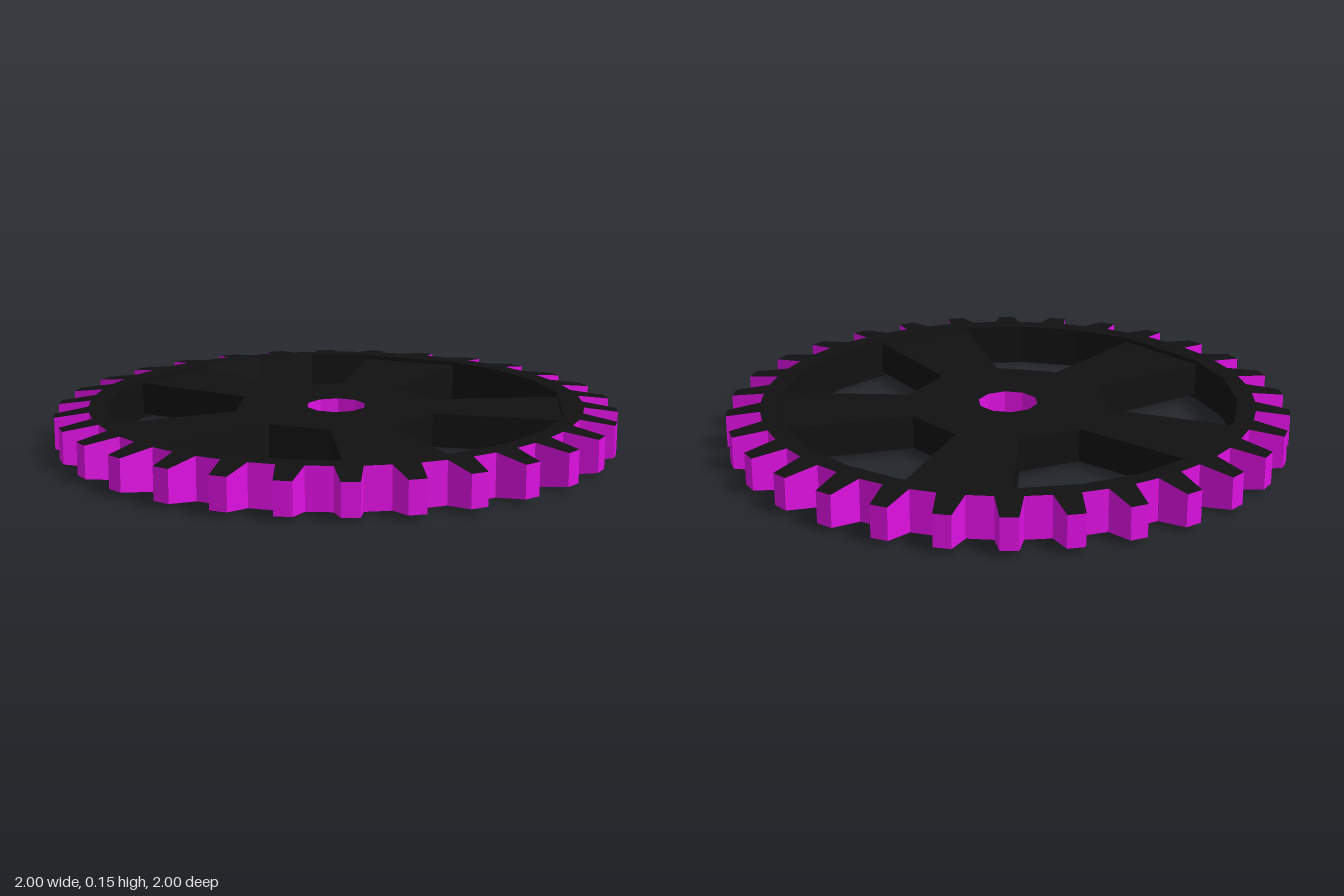
import * as THREE from 'three';
import { mergeGeometries } from 'three/addons/utils/BufferGeometryUtils.js';

const TEETH = 30, SPOKES = 5, HEIGHT = 0.15, RECESS = 0.015;
const ROOT = 0.88, RIM = 0.818, HUB = 0.364, BORE = 0.107;
const CENTRE = -9; // angle of the first spoke and first tooth, in degrees

const black = new THREE.MeshStandardMaterial({ color: 0x111111, flatShading: true });
const magenta = new THREE.MeshStandardMaterial({ color: 0xdd10e0, flatShading: true });

// Point on the plan: angle clockwise from the back, and radius
const polar = (deg, r) => {
  const a = THREE.MathUtils.degToRad(deg);
  return new THREE.Vector2(r * Math.sin(a), r * Math.cos(a));
};
const at = (p, y) => [p.x, y, -p.y];

// Separate flat quads, corners counter-clockwise
function quads(list) {
  const pos = [];
  for (const [a, b, c, d] of list) pos.push(...a, ...b, ...c, ...a, ...c, ...d);
  const g = new THREE.BufferGeometry();
  g.setAttribute('position', new THREE.Float32BufferAttribute(pos, 3));
  g.computeVertexNormals();
  return g;
}

// Upright wall along a path; clockwise paths face outward
function walls(path, y0, y1, closed = true) {
  const list = [];
  const n = closed ? path.length : path.length - 1;
  for (let i = 0; i < n; i++) {
    const p = path[i], q = path[(i + 1) % path.length];
    list.push([at(q, y0), at(p, y0), at(p, y1), at(q, y1)]);
  }
  return quads(list);
}

// Flat top and bottom faces of an outline with a hole
function caps(outline, hole, y0, y1) {
  const shape = new THREE.Shape(outline);
  shape.holes.push(new THREE.Path(hole));
  const top = new THREE.ShapeGeometry(shape).rotateX(-Math.PI / 2);
  const bottom = top.clone();
  bottom.index.array.reverse();
  bottom.computeVertexNormals();
  return mergeGeometries([top.translate(0, y1, 0), bottom.translate(0, y0, 0)]);
}

export function createModel() {
  const gear = new THREE.Group();
  gear.name = 'gear';
  const add = (name, geometry, material) => {
    const mesh = new THREE.Mesh(geometry, material);
    mesh.name = name;
    gear.add(mesh);
  };

  // Outlines of the rim, the spoked plate and the bore
  const rootLoop = [], rimLoop = [], plateLoop = [], boreLoop = [];
  const spokeSides = [];
  for (let k = 0; k < SPOKES; k++) {
    const c = CENTRE + (360 / SPOKES) * k;
    for (const d of [-12.8, 12.8, 28.3, 43.7]) rimLoop.push(polar(c + d, RIM));
    plateLoop.push(polar(c - 17.7, HUB), polar(c - 12.8, RIM), polar(c + 12.8, RIM), polar(c + 17.7, HUB));
    const window = [polar(c + 12.8, RIM), polar(c + 17.7, HUB), polar(c + 54.3, HUB), polar(c + 59.2, RIM)];
    spokeSides.push(walls(window, RECESS, HEIGHT - RECESS, false));
  }
  for (let i = 0; i < 10; i++) boreLoop.push(polar(CENTRE + 18 + 36 * i, BORE));

  // Teeth: narrower and thinner toward the tip
  const toothFaces = [], toothSides = [], roots = [];
  for (let i = 0; i < TEETH; i++) {
    const c = CENTRE + (360 / TEETH) * i;
    const b0 = polar(c - 3.05, ROOT), b1 = polar(c + 3.05, ROOT);
    const t0 = polar(c - 1.75, 1), t1 = polar(c + 1.75, 1);
    const next = polar(c + 360 / TEETH - 3.05, ROOT);
    const lo = 0.018, hi = HEIGHT - 0.018;
    rootLoop.push(b0, b1);
    toothFaces.push(
      [at(b0, HEIGHT), at(b1, HEIGHT), at(t1, hi), at(t0, hi)],
      [at(t0, lo), at(t1, lo), at(b1, 0), at(b0, 0)]);
    toothSides.push(
      [at(t0, lo), at(b0, 0), at(b0, HEIGHT), at(t0, hi)],
      [at(t1, lo), at(t0, lo), at(t0, hi), at(t1, hi)],
      [at(b1, 0), at(t1, lo), at(t1, hi), at(b1, HEIGHT)]);
    roots.push([at(next, 0), at(b1, 0), at(b1, HEIGHT), at(next, HEIGHT)]);
  }
  add('toothFaces', quads(toothFaces), black);
  add('toothSides', quads(toothSides), magenta);
  add('toothRoots', quads(roots), magenta);

  // Rim
  add('rimFaces', caps(rootLoop, rimLoop, 0, HEIGHT), black);
  add('rimInnerWall', walls([...rimLoop].reverse(), 0, HEIGHT), black);

  // Hub and spokes, set slightly below the rim
  add('hubAndSpokes', caps(plateLoop, boreLoop, RECESS, HEIGHT - RECESS), black);
  add('spokeSides', mergeGeometries(spokeSides), black);
  add('boreWall', walls([...boreLoop].reverse(), RECESS, HEIGHT - RECESS), magenta);

  return gear;
}
